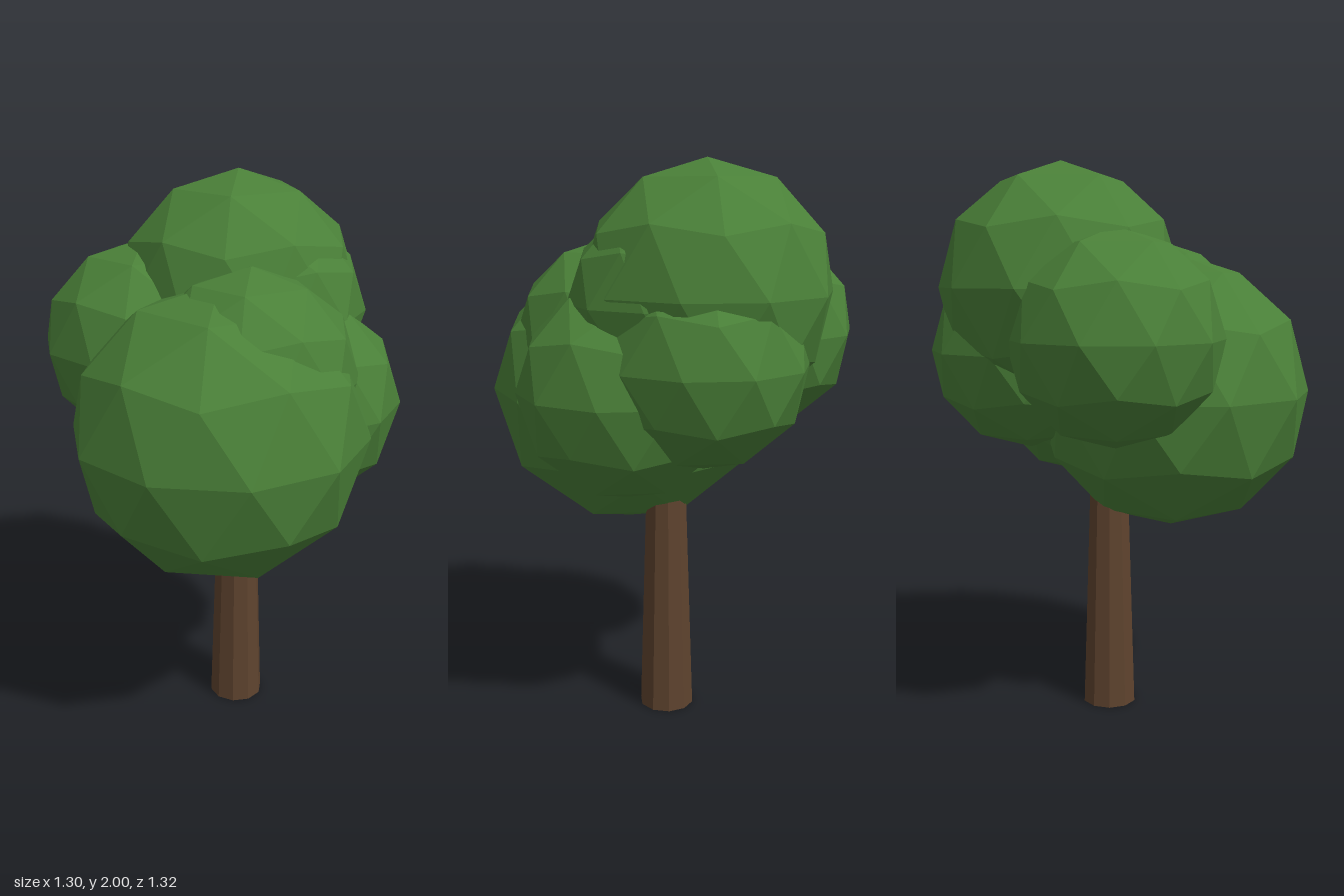
import * as THREE from 'three';

export function createModel() {
  const tree = new THREE.Group();
  tree.name = 'tree';

  const leafGreen = new THREE.MeshStandardMaterial({ color: 0x4a8038, flatShading: true });
  leafGreen.name = 'leafGreen';
  const barkBrown = new THREE.MeshStandardMaterial({ color: 0x5e432e, flatShading: true });
  barkBrown.name = 'barkBrown';

  // Tapered ten-sided trunk, reaching up into the crown
  const trunk = new THREE.Mesh(
    new THREE.CylinderGeometry(0.062, 0.1, 1.2, 10, 1, false, Math.PI / 2), barkBrown);
  trunk.name = 'trunk';
  trunk.position.set(0.04, 0.6, 0.04);
  tree.add(trunk);

  // Faceted ball with one corner pointing straight up
  const ball = new THREE.IcosahedronGeometry(1, 1);
  ball.rotateZ(-Math.atan(2 / (1 + Math.sqrt(5))));

  // Leaf clumps: name, x, y, z, radius
  const clumps = [
    ['mainClump', -0.17, 1.185, 0.15, 0.507],
    ['topClump', 0.175, 1.565, -0.085, 0.435],
    ['frontLeftClump', 0.17, 1.23, 0.187, 0.378],
    ['leftClump', 0.31, 1.34, -0.06, 0.355],
    ['backClump', -0.09, 1.4, -0.293, 0.366],
    ['frontClump', -0.08, 1.375, 0.205, 0.365],
    ['innerClump', 0.2, 1.53, 0.05, 0.335],
  ];
  const crown = new THREE.Group();
  crown.name = 'crown';
  for (const [name, x, y, z, r] of clumps) {
    const clump = new THREE.Mesh(ball, leafGreen);
    clump.name = name;
    clump.position.set(x, y, z);
    clump.scale.setScalar(r);
    crown.add(clump);
  }
  tree.add(crown);

  return tree;
}
